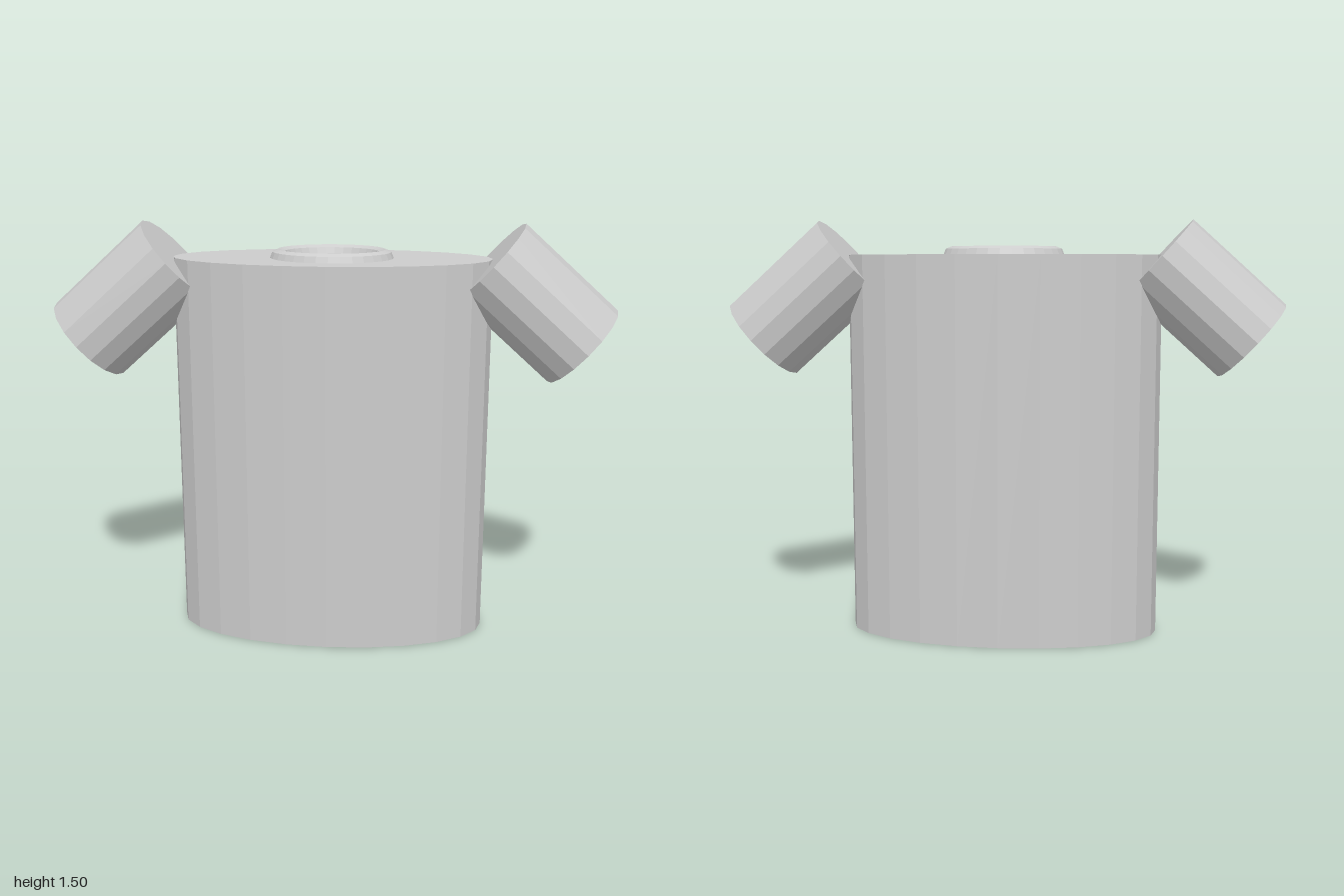
import * as THREE from 'three';

export function createModel() {
  const model = new THREE.Group();
  const grey = new THREE.MeshStandardMaterial({ color: 0xcccccc });
  grey.name = 'light grey';
  grey.flatShading = true;

  const add = (name, geometry) => {
    const mesh = new THREE.Mesh(geometry, grey);
    mesh.name = name;
    model.add(mesh);
    return mesh;
  };

  // Torso: an oval cylinder standing on the ground
  const height = 1.38;
  add('torso', new THREE.CylinderGeometry(1, 1, height, 24)
    .scale(0.565, 1, 0.25)
    .translate(0, height / 2, 0));

  // Collar: an oval ring half sunk into the top of the torso
  add('collar', new THREE.TorusGeometry(0.188, 0.03, 8, 32)
    .rotateX(Math.PI / 2)
    .scale(1, 1, 0.755)
    .translate(0, height, 0));

  // Sleeves: short cylinders sloping down and outward from the shoulders
  const slope = THREE.MathUtils.degToRad(48);
  for (const [name, side] of [['leftSleeve', 1], ['rightSleeve', -1]]) {
    const sleeve = add(name, new THREE.CylinderGeometry(0.173, 0.173, 0.443, 16));
    sleeve.position.set(side * 0.72, 1.226, 0);
    sleeve.rotation.z = side * slope;
  }

  return model;
}
